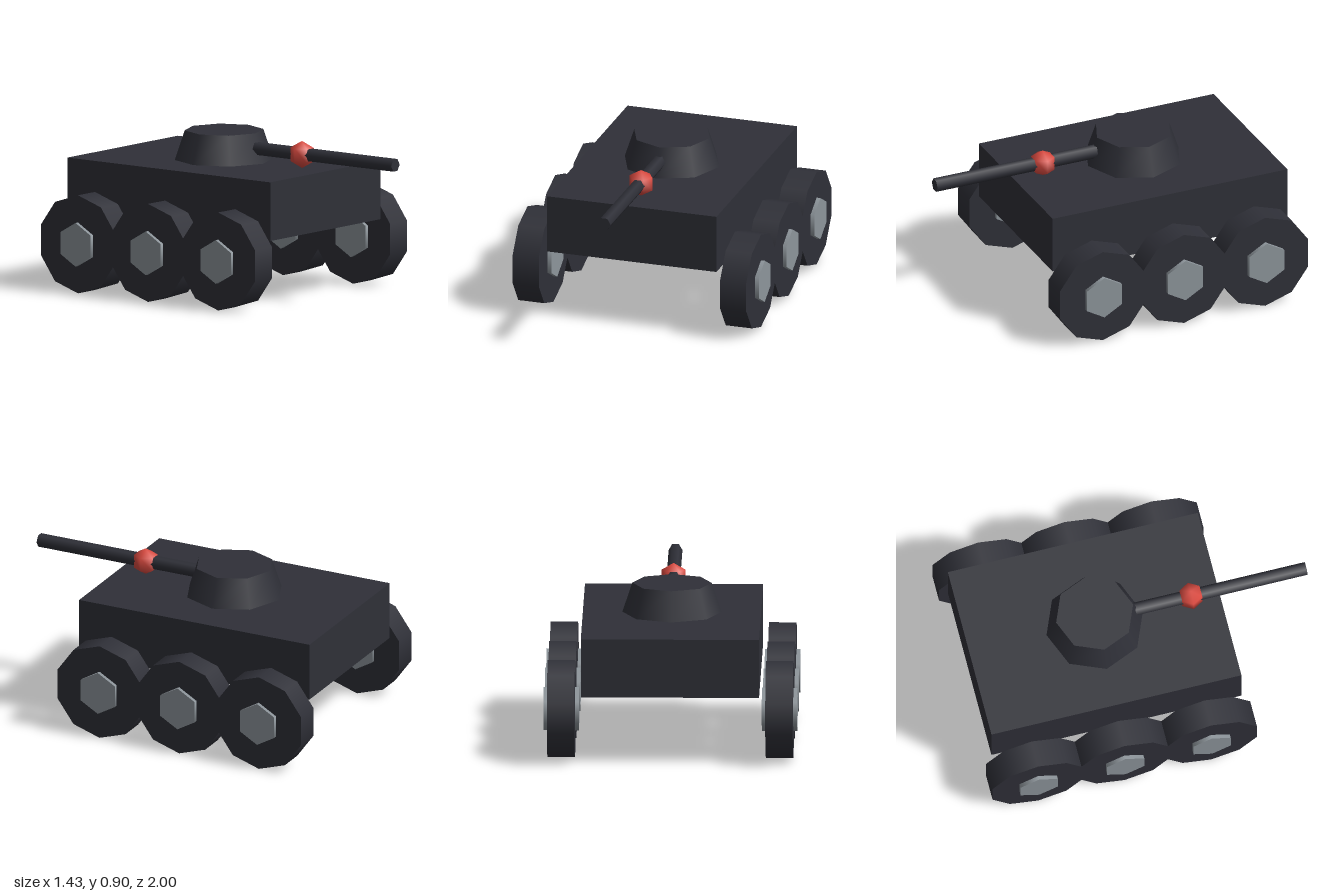
import * as THREE from 'three';

export function createModel() {
  const model = new THREE.Group();
  const dark = new THREE.MeshStandardMaterial({ name: 'charcoal', color: 0x2f3038 });
  const steel = new THREE.MeshStandardMaterial({ name: 'steel grey', color: 0x8e969c });
  const red = new THREE.MeshStandardMaterial({ name: 'red', color: 0xdc4b41 });

  const add = (name, geometry, material, x, y, z) => {
    const mesh = new THREE.Mesh(geometry, material);
    mesh.name = name;
    mesh.position.set(x, y, z);
    model.add(mesh);
  };

  // Hull and tapered eight-sided turret
  const midZ = -0.23;
  add('hull', new THREE.BoxGeometry(1.006, 0.335, 1.455), dark, 0, 0.5625, midZ);
  add('turret', new THREE.CylinderGeometry(0.224, 0.28, 0.168, 8), dark, 0, 0.814, midZ);

  // Six-sided gun barrel with a red ball around it
  const barrel = new THREE.CylinderGeometry(0.039, 0.039, 1.2, 6).rotateY(Math.PI / 2).rotateX(Math.PI / 2);
  add('gunBarrel', barrel, dark, 0, 0.814, 0.4);
  add('barrelBall', new THREE.SphereGeometry(0.0775, 6, 3), red, 0, 0.811, 0.33);

  // Three wheels per side, corners pointing straight up
  const disc = (radius, width, sides) =>
    new THREE.CylinderGeometry(radius, radius, width, sides).rotateY(Math.PI / 2).rotateZ(Math.PI / 2);
  const tyre = disc(0.28, 0.155, 10);
  const hub = disc(0.125, 0.2, 6);
  for (const side of [-1, 1]) {
    for (const offset of [-0.503, 0, 0.503]) {
      add('wheel', tyre, dark, side * 0.616, 0.28, midZ + offset);
      add('wheelHub', hub, steel, side * 0.616, 0.28, midZ + offset);
    }
  }
  return model;
}
